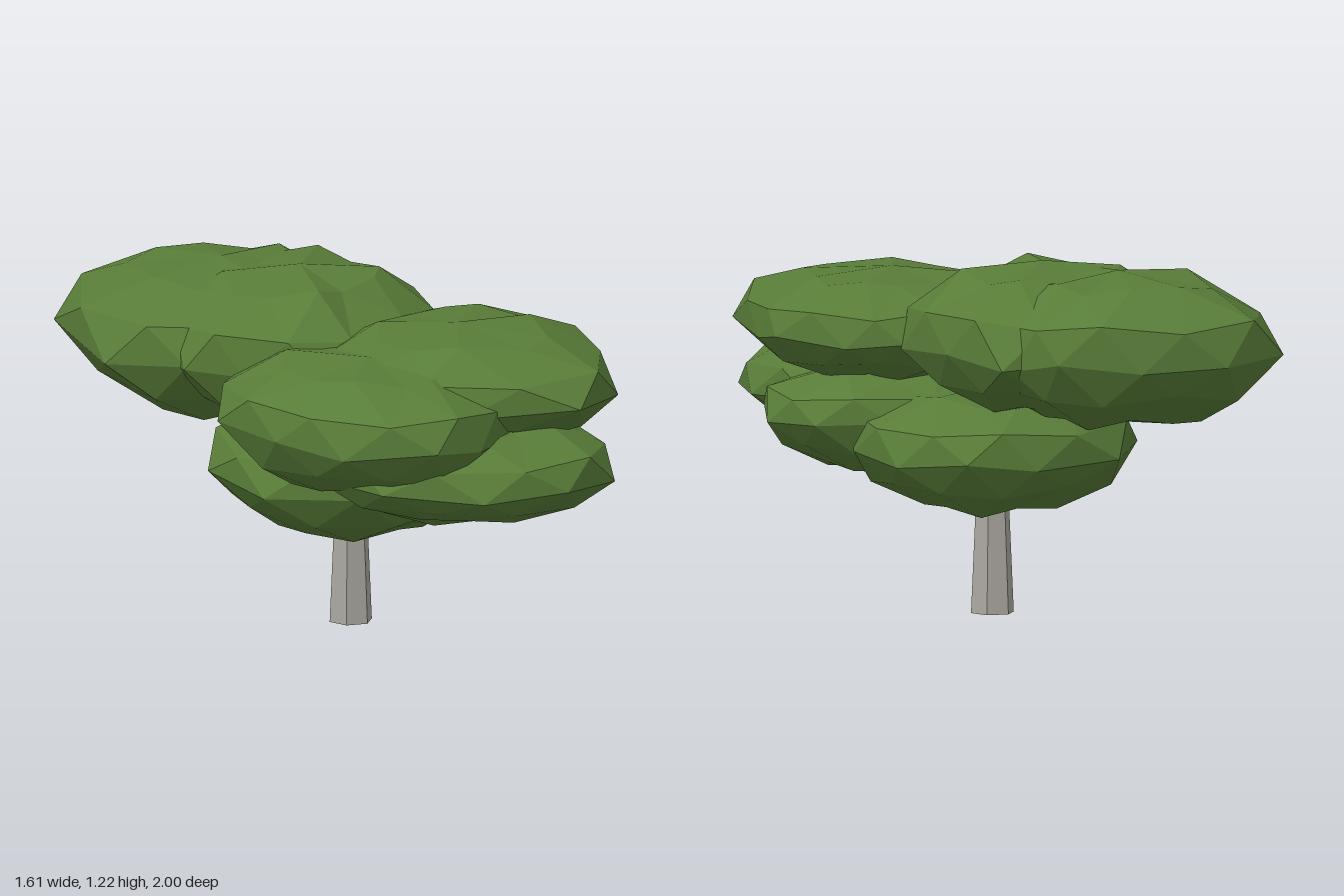
import * as THREE from 'three';

const leafGreen = new THREE.MeshStandardMaterial({ color: 0x587c38, flatShading: true });
leafGreen.name = 'leafGreen';
const barkGrey = new THREE.MeshStandardMaterial({ color: 0xa9a79d, flatShading: true });
barkGrey.name = 'barkGrey';

// Rings of a clump from low to high: [height -1..1, share of the outline]
const RINGS = [[-0.92, 0.5], [-0.56, 0.87], [-0.12, 1], [0.42, 0.99], [0.86, 0.57]];

// Faceted leaf clump: outline is its [x, z] plan, running left, back, right, front.
// Every second ring is turned by half a step, which gives staggered triangles.
function leafClump(name, bottom, middle, top, outline) {
  const n = outline.length;
  const plan = outline.map(([x, z]) => new THREE.Vector2(x, z));
  const box = new THREE.Box2().setFromPoints(plan);
  const centre = box.getCenter(new THREE.Vector2());
  const level = (h) => middle + h * (h < 0 ? middle - bottom : top - middle);

  const points = [];
  RINGS.forEach(([h, share], r) => {
    plan.forEach((corner, i) => {
      const p = corner.clone();
      if (r % 2) p.lerp(plan[(i + 1) % n], 0.5);
      p.sub(centre).multiplyScalar(share).add(centre);
      const wobble = 0.07 * Math.sin(i * 2.4 + r * 1.7 + n);
      points.push(p.x, level(h + wobble), p.y);
    });
  });
  points.push(centre.x, bottom, centre.y, centre.x, top, centre.y);

  const faces = [];
  const last = RINGS.length - 1;
  const low = RINGS.length * n;
  for (let i = 0; i < n; i++) {
    const j = (i + 1) % n;
    faces.push(low, i, j, low + 1, last * n + j, last * n + i);
    for (let r = 0; r < last; r++) {
      const a = r * n + i, b = r * n + j, c = a + n, d = b + n;
      if (r % 2) faces.push(a, c, d, b, a, d);
      else faces.push(b, a, c, c, d, b);
    }
  }

  const geo = new THREE.BufferGeometry();
  geo.setAttribute('position', new THREE.Float32BufferAttribute(points, 3));
  geo.setIndex(faces);
  const flat = geo.toNonIndexed();
  flat.computeVertexNormals();
  const mesh = new THREE.Mesh(flat, leafGreen);
  mesh.name = name;
  return mesh;
}

export function createModel() {
  const tree = new THREE.Group();
  tree.name = 'tree';

  // Six-sided tapering trunk
  const trunk = new THREE.Mesh(new THREE.CylinderGeometry(0.048, 0.075, 0.6, 6), barkGrey);
  trunk.name = 'trunk';
  trunk.rotation.y = Math.PI / 6 + 0.06;
  trunk.position.set(0.05, 0.3, -0.14);
  tree.add(trunk);

  // Overlapping clumps of foliage, from the lowest up
  tree.add(
    leafClump('lowerFoliage', 0.35, 0.58, 0.77, [
      [-0.46, -0.1], [-0.32, -0.45], [0, -0.62], [0.24, -0.61], [0.44, -0.41],
      [0.52, -0.1], [0.47, 0.18], [0.25, 0.41], [-0.08, 0.44], [-0.36, 0.25]]),
    leafClump('lowerLeftFoliage', 0.45, 0.67, 0.81, [
      [-0.15, 0.35], [-0.1, 0.1], [0.1, -0.1], [0.4, -0.16], [0.65, -0.08],
      [0.77, 0.12], [0.72, 0.4], [0.42, 0.66], [0.05, 0.66]]),
    leafClump('lowerFrontFoliage', 0.54, 0.7, 0.88, [
      [-0.26, 0.5], [-0.1, 0.2], [0.25, 0.08], [0.6, 0.2], [0.75, 0.47],
      [0.72, 0.8], [0.51, 0.98], [0.21, 1.0], [-0.1, 0.83]]),
    leafClump('upperFrontFoliage', 0.63, 0.87, 1.07, [
      [-0.55, 0.36], [-0.44, 0.06], [-0.25, -0.1], [0.05, -0.1], [0.32, 0.08],
      [0.45, 0.37], [0.4, 0.7], [0.22, 0.92], [0.05, 0.99], [-0.25, 0.88], [-0.43, 0.67]]),
    leafClump('upperLeftFoliage', 0.77, 0.95, 1.13, [
      [-0.2, 0.4], [-0.12, 0.08], [0.1, -0.14], [0.38, -0.25], [0.57, -0.19],
      [0.77, 0], [0.8, 0.12], [0.78, 0.62], [0.59, 0.84], [0.19, 0.79], [-0.05, 0.66]]),
    leafClump('topFoliage', 0.72, 0.96, 1.215, [
      [-0.57, 0], [-0.55, -0.35], [-0.4, -0.65], [-0.12, -0.83], [0.17, -0.83],
      [0.31, -0.6], [0.39, -0.25], [0.32, -0.1], [0.06, 0.12], [-0.12, 0.26], [-0.4, 0.13]]),
    leafClump('upperBackFoliage', 0.69, 0.96, 1.205, [
      [-0.81, -0.8], [-0.58, -0.97], [-0.28, -1.0], [0, -0.94], [0.13, -0.8],
      [0.2, -0.5], [0.1, -0.16], [-0.2, 0], [-0.55, -0.04], [-0.78, -0.25]])
  );
  return tree;
}
